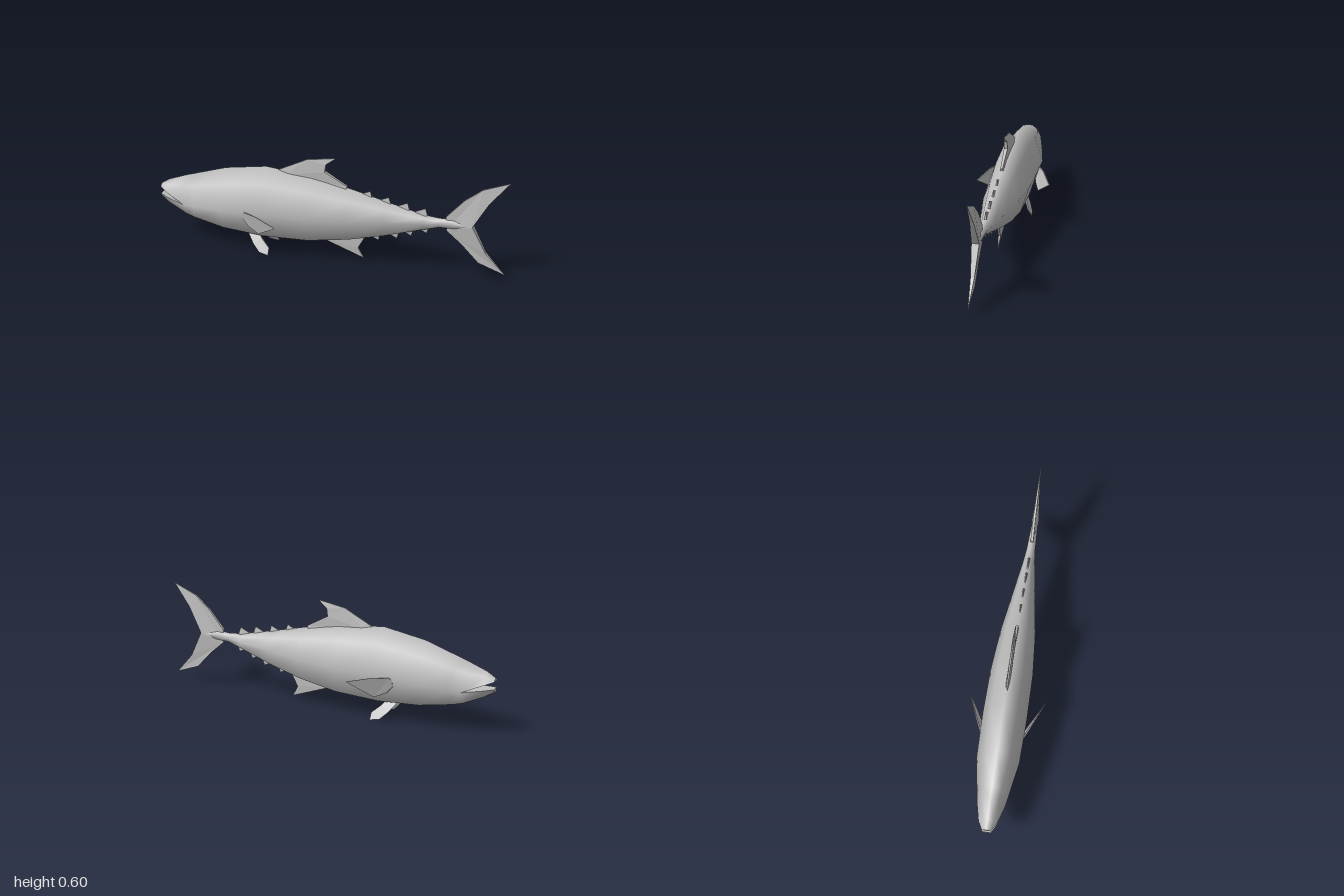
import * as THREE from 'three';
import { mergeVertices } from 'three/addons/utils/BufferGeometryUtils.js';

const skin = new THREE.MeshStandardMaterial({ color: 0xbfbfbf, side: THREE.DoubleSide });
skin.name = 'grey skin';

function addMesh(group, name, geometry) {
  const mesh = new THREE.Mesh(geometry, skin);
  mesh.name = name;
  group.add(mesh);
}

function fromPoints(points, index) {
  const g = new THREE.BufferGeometry();
  g.setAttribute('position', new THREE.Float32BufferAttribute(points.flat(), 3));
  g.setIndex(index);
  return g;
}

// Thin fin: outline points are [x, y, half thickness]; zAt gives the mid-plane.
function finGeometry(outline, zAt = () => 0) {
  let pts = outline;
  const flat = (p) => p.map(([x, y]) => new THREE.Vector2(x, y));
  if (THREE.ShapeUtils.isClockWise(flat(pts))) pts = [...pts].reverse();
  const n = pts.length;
  const near = pts.map(([x, y, t]) => [x, y, zAt(x, y) + t]);
  const far = pts.map(([x, y, t]) => [x, y, zAt(x, y) - t]);
  const index = [];
  for (const [a, b, c] of THREE.ShapeUtils.triangulateShape(flat(pts), [])) {
    index.push(a, b, c, n + a, n + c, n + b);
  }
  for (let i = 0; i < n; i++) {
    const j = (i + 1) % n;
    index.push(i, n + i, j, j, n + i, n + j);
  }
  const g = fromPoints([...near, ...far], index).toNonIndexed();
  g.computeVertexNormals();
  return g;
}

// Body sections: x, top, bottom, half width, upper and lower lip height
const SECTIONS = [
  [-1, 0.316, 0.24, 0.024, 0.3, 0.26],
  [-0.95, 0.347, 0.208, 0.05, 0.28, 0.252],
  [-0.84, 0.388, 0.155, 0.077, 0.233, 0.233],
  [-0.78, 0.407, 0.137, 0.087, 0.235, 0.235],
  [-0.6, 0.465, 0.102, 0.117, 0.247, 0.247],
  [-0.36, 0.505, 0.083, 0.122, 0.262, 0.262],
  [-0.1, 0.482, 0.095, 0.118, 0.266, 0.266],
  [0.13, 0.437, 0.135, 0.098, 0.278, 0.278],
  [0.33, 0.39, 0.187, 0.068, 0.289, 0.289],
  [0.545, 0.342, 0.257, 0.035, 0.3, 0.3],
  [0.63, 0.335, 0.283, 0.025, 0.31, 0.31],
  [0.7, 0.34, 0.284, 0.022, 0.312, 0.312],
  [0.8, 0.318, 0.302, 0.016, 0.31, 0.31],
];
const MOUTH_END = 2;

function ring([x, top, bottom, w, upper, lower]) {
  const shoulder = upper + 0.65 * (top - upper);
  const belly = lower - 0.86 * (lower - bottom);
  const k = 0.59 * w;
  return [
    [x, top, 0], [x, shoulder, k], [x, upper, w], [x, lower, w], [x, belly, k],
    [x, bottom, 0], [x, belly, -k], [x, lower, -w], [x, upper, -w], [x, shoulder, -k],
  ];
}

function bodyGeometry() {
  const index = [];
  for (let i = 0; i < SECTIONS.length - 1; i++) {
    for (let j = 0; j < 10; j++) {
      // the lips stay apart as far as the mouth corner
      if (j === 2 || j === 7) continue;
      const a = i * 10 + j, b = i * 10 + (j + 1) % 10;
      index.push(a, b, a + 10, b, b + 10, a + 10);
    }
  }
  const g = mergeVertices(fromPoints(SECTIONS.flatMap(ring), index), 1e-5);
  g.computeVertexNormals();
  return g;
}

// Palate, mouth floor and the blunt tips of both jaws
function mouthGeometry() {
  const index = [];
  for (let i = 0; i < MOUTH_END; i++) {
    const o = i * 10, p = o + 10;
    index.push(o + 2, o + 8, p + 2, o + 8, p + 8, p + 2);
    index.push(o + 3, p + 3, o + 7, o + 7, p + 3, p + 7);
  }
  index.push(0, 9, 1, 1, 9, 8, 1, 8, 2);
  index.push(3, 7, 4, 4, 7, 6, 4, 6, 5);
  const g = fromPoints(SECTIONS.flatMap(ring), index).toNonIndexed();
  g.computeVertexNormals();
  return g;
}

export function createModel() {
  const fish = new THREE.Group();
  fish.name = 'fish';
  addMesh(fish, 'body', bodyGeometry());
  addMesh(fish, 'mouth', mouthGeometry());

  // Fins on the centre line
  addMesh(fish, 'dorsalFin', finGeometry([
    [-0.29, 0.494, 0.003], [-0.12, 0.578, 0.004], [0.045, 0.605, 0.001], [-0.012, 0.562, 0.008],
    [-0.018, 0.52, 0.01], [0.11, 0.45, 0.006], [0.1, 0.42, 0.01], [-0.25, 0.47, 0.01],
  ]));
  addMesh(fish, 'analFin', finGeometry([
    [-0.04, 0.115, 0.004], [0.21, 0.025, 0.001], [0.175, 0.085, 0.006],
    [0.207, 0.143, 0.005], [0.2, 0.175, 0.008], [0, 0.14, 0.008],
  ]));
  addMesh(fish, 'tailFin', finGeometry([
    [0.665, 0.35, 0.008], [0.76, 0.458, 0.007], [0.855, 0.533, 0.005], [1, 0.59, 0.001],
    [0.895, 0.46, 0.01], [0.812, 0.315, 0.02], [0.89, 0.165, 0.01], [1, 0.048, 0.001],
    [0.85, 0.102, 0.005], [0.755, 0.2, 0.007], [0.67, 0.27, 0.008],
  ]));

  // Finlets along the back and under the tail: tip x, tip y, direction
  const finlets = [
    [0.24, 0.438, 1], [0.345, 0.417, 1], [0.45, 0.398, 1], [0.55, 0.38, 1],
    [0.29, 0.15, -1], [0.395, 0.177, -1], [0.475, 0.205, -1], [0.56, 0.234, -1],
  ];
  for (const [x, y, d] of finlets) {
    addMesh(fish, d > 0 ? 'upperFinlet' : 'lowerFinlet', finGeometry([
      [x - 0.06, y - d * 0.027, 0.003], [x, y, 0.001],
      [x + 0.012, y - d * 0.04, 0.006], [x - 0.035, y - d * 0.055, 0.006],
    ]));
  }

  // Paired fins
  for (const [name, s] of [['left', 1], ['right', -1]]) {
    addMesh(fish, name === 'left' ? 'pectoralFinNear' : 'pectoralFinFar', finGeometry([
      [-0.465, 0.25, 0.006], [-0.45, 0.264, 0.004], [-0.37, 0.264, 0.003], [-0.24, 0.238, 0.002],
      [-0.25, 0.228, 0.002], [-0.365, 0.148, 0.003], [-0.43, 0.175, 0.006], [-0.465, 0.215, 0.008],
    ], (x, y) => s * (0.112 + 0.45 * (x + 0.465) + 0.28 * (y - 0.25))));
    addMesh(fish, name === 'left' ? 'pelvicFinNear' : 'pelvicFinFar', finGeometry([
      [-0.47, 0.115, 0.003], [-0.4, 0.115, 0.003], [-0.375, 0.083, 0.004], [-0.325, 0.04, 0.003],
      [-0.325, 0.002, 0.001], [-0.38, 0.012, 0.002], [-0.42, 0.05, 0.004],
    ], (x, y) => s * (0.098 - 0.55 * y)));
  }
  return fish;
}
